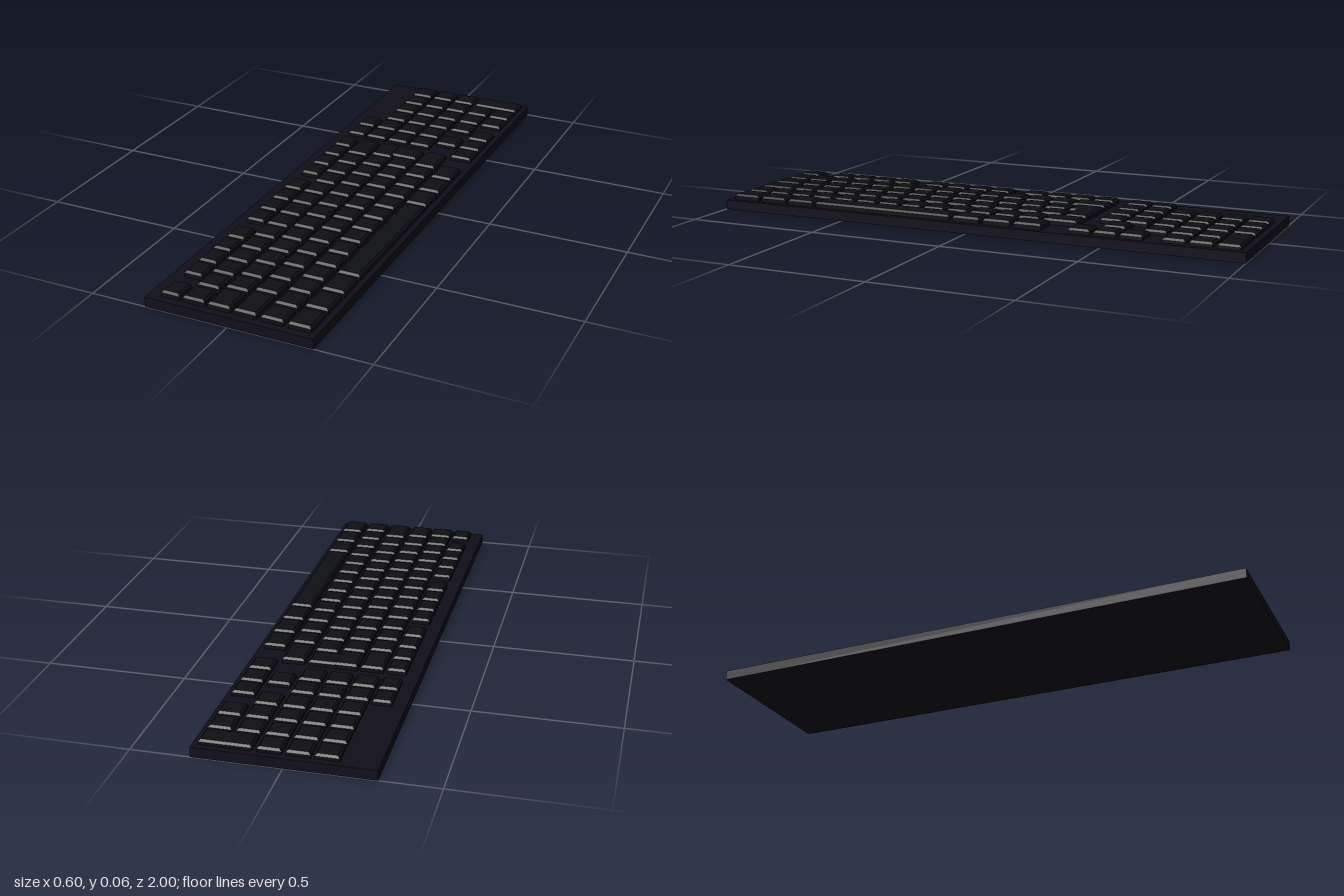
import * as THREE from 'three';

const U = 0.0937;        // key pitch
const GAP = 0.014;       // space between keys
const START = 0.98;      // z of the left end of the key field
const DECK = 0.035;      // top of the case
const ROW_X = [-0.22, -0.135, -0.043, 0.05, 0.145, 0.24];

const caseMat = new THREE.MeshStandardMaterial({ color: 0x100e1a });
const keyMat = new THREE.MeshStandardMaterial({ color: 0x0f1015 });

// Keycap: straight sides with a chamfered top
function capGeometry(w, d, top) {
  const h = top - DECK + 0.005;
  const geo = new THREE.BoxGeometry(w, h, d, 1, 2, 1);
  const p = geo.attributes.position;
  for (let i = 0; i < p.count; i++) {
    const y = p.getY(i);
    if (y > h / 4) {
      p.setX(i, p.getX(i) - Math.sign(p.getX(i)) * 0.007);
      p.setZ(i, p.getZ(i) - Math.sign(p.getZ(i)) * 0.007);
    } else if (y > -h / 4) {
      p.setY(i, h / 2 - 0.008);
    }
  }
  geo.translate(0, top - h / 2, 0);
  const flat = geo.toNonIndexed();
  flat.computeVertexNormals();
  return flat;
}

export function createModel() {
  const group = new THREE.Group();

  const body = new THREE.Mesh(new THREE.BoxGeometry(0.6, DECK, 2), caseMat);
  body.name = 'case';
  body.position.y = DECK / 2;
  group.add(body);

  // Adds a key starting "at" units from the left end; rows > 1 spans several rows
  function key(parent, name, row, at, size = 1, rows = 1, top = 0.057) {
    const x0 = ROW_X[row], x1 = ROW_X[row + rows - 1];
    const w = (row === 0 ? 0.066 : 0.08) + x1 - x0;
    const mesh = new THREE.Mesh(capGeometry(w, size * U - GAP, top), keyMat);
    mesh.name = name;
    mesh.position.set((x0 + x1) / 2, 0, START - (at + size / 2) * U);
    parent.add(mesh);
  }

  function section(name) {
    const g = new THREE.Group();
    g.name = name;
    group.add(g);
    return g;
  }

  // Top row: escape, then three groups of four
  const topRow = section('topRow');
  key(topRow, 'escapeKey', 0, 0);
  for (let i = 0; i < 12; i++) key(topRow, 'topRowKey', 0, 1 + i + 0.5 * (Math.floor(i / 4) + 1));

  // Main rows: [row, left key width, letter key count, right key width]
  const main = section('mainKeys');
  const layout = [[1, 1, 12, 1.5], [2, 1.25, 12, 1.25], [3, 1.5, 12, 0], [4, 1, 12, 1.5]];
  for (const [row, left, count, right] of layout) {
    key(main, 'leftEdgeKey', row, 0, left);
    for (let i = 0; i < count; i++) key(main, 'letterKey', row, left + i);
    if (right) key(main, 'rightEdgeKey', row, left + count, right);
  }
  // Tall part of the two-row enter key
  key(main, 'enterKey', 2, 13.5, 1, 2, 0.056);

  // Bottom row: modifiers around the space bar
  const bottom = section('bottomRow');
  for (let i = 0; i < 3; i++) {
    key(bottom, 'modifierKey', 5, i * 1.25, 1.25);
    key(bottom, 'modifierKey', 5, 9.75 + i * 1.25, 1.25);
  }
  key(bottom, 'spaceBar', 5, 3.75, 6);

  // Navigation block and arrows
  const nav = section('navigationKeys');
  for (let row = 0; row < 4; row++)
    for (let i = 0; i < 2; i++) key(nav, 'navigationKey', row, 14.9 + i, 1, 1, 0.054);
  key(nav, 'upArrowKey', 4, 15.4, 1, 1, 0.054);
  for (let i = 0; i < 3; i++) key(nav, 'arrowKey', 5, 14.4 + i, 1, 1, 0.054);

  // Number pad with a two-row enter key
  const pad = section('numberPad');
  for (let row = 1; row < 6; row++) {
    const first = row === 5 ? 1 : 0;
    const last = row < 4 ? 4 : 3;
    for (let i = first; i < last; i++) key(pad, 'numberKey', row, 16.97 + i, 1, 1, 0.053);
  }
  key(pad, 'padEnterKey', 4, 19.97, 1, 2, 0.053);

  return group;
}
